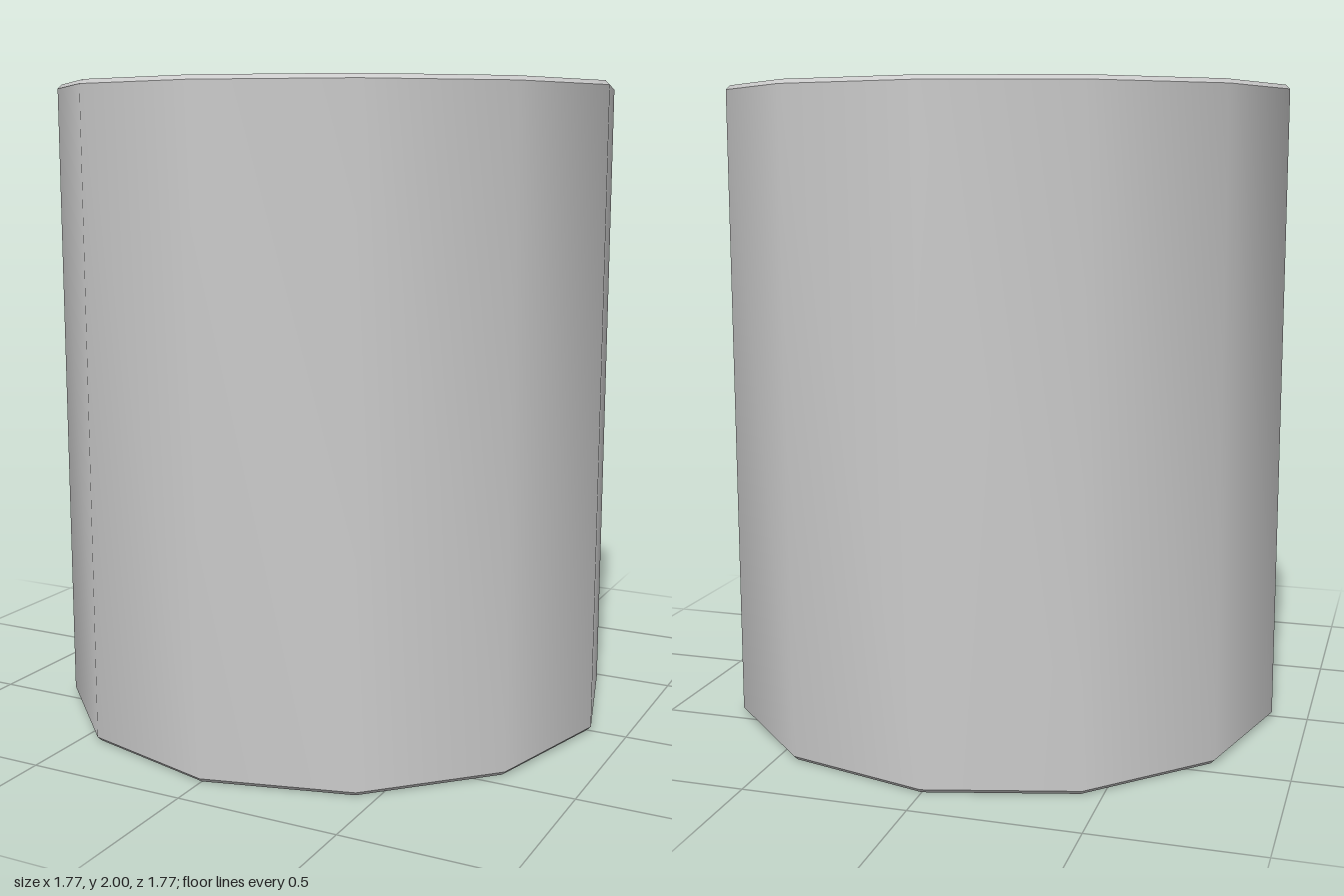
import * as THREE from 'three';
import { toCreasedNormals } from 'three/addons/utils/BufferGeometryUtils.js';

const SIDES = 12;
const HEIGHT = 2;
const OUTER = 0.887;
const INNER = 0.83;
const BEVEL = 0.013;
const RECESS = 0.065;

export function createModel() {
  const group = new THREE.Group();
  const material = new THREE.MeshStandardMaterial({ color: 0xcccccc });

  // Twelve-sided wall with bevelled rims, continuing down to both recessed lids
  const profile = [
    [INNER, RECESS], [INNER, BEVEL], [INNER + BEVEL, 0],
    [OUTER - BEVEL, 0], [OUTER, BEVEL],
    [OUTER, HEIGHT - BEVEL], [OUTER - BEVEL, HEIGHT],
    [INNER + BEVEL, HEIGHT], [INNER, HEIGHT - BEVEL], [INNER, HEIGHT - RECESS],
  ].map(([r, y]) => new THREE.Vector2(r, y));
  const wallGeometry = toCreasedNormals(
    new THREE.LatheGeometry(profile, SIDES), THREE.MathUtils.degToRad(32));
  const wall = new THREE.Mesh(wallGeometry, material);
  wall.name = 'wall';
  group.add(wall);

  // Flat lids set back inside the rims
  const addLid = (name, y, tilt) => {
    const lid = new THREE.Mesh(new THREE.CircleGeometry(INNER, SIDES), material);
    lid.name = name;
    lid.position.y = y;
    lid.rotation.x = tilt;
    group.add(lid);
  };
  addLid('topLid', HEIGHT - RECESS, -Math.PI / 2);
  addLid('bottomLid', RECESS, Math.PI / 2);

  return group;
}
